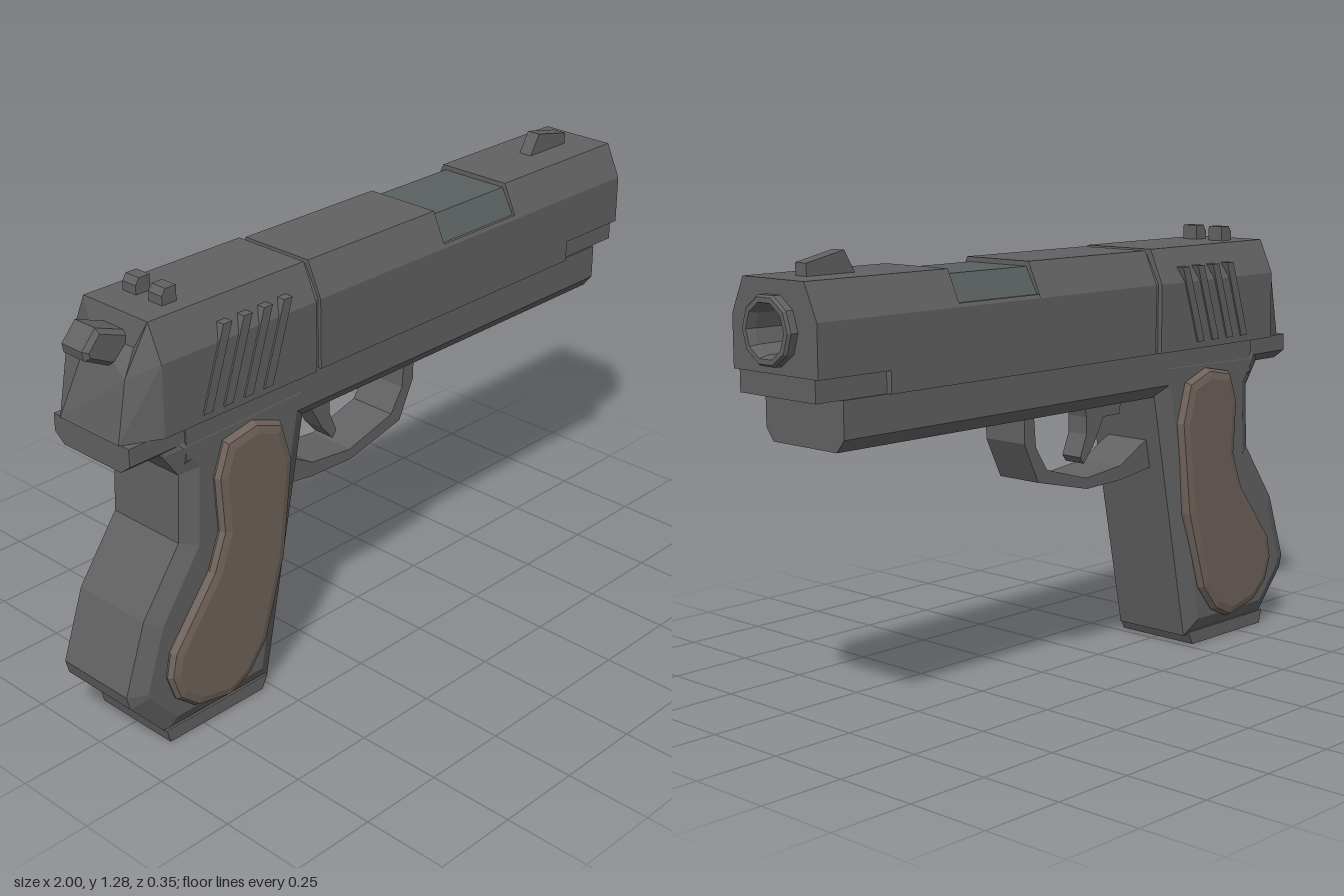
import * as THREE from 'three';

const steel = new THREE.MeshStandardMaterial({ color: 0x626262, flatShading: true, side: THREE.DoubleSide });
const dark = new THREE.MeshStandardMaterial({ color: 0x5a6060, flatShading: true });
const wood = new THREE.MeshStandardMaterial({ color: 0x70635b, flatShading: true });

const shapeOf = (pts) => new THREE.Shape(pts.map(([x, y]) => new THREE.Vector2(x, y)));

// Side outline (x, y) extruded symmetrically to z = +-half, with an optional inward bevel
function slab(pts, half, size = 0, thick = 0, segments = 1) {
  const geo = new THREE.ExtrudeGeometry(shapeOf(pts), {
    depth: 2 * (half - thick), bevelEnabled: size > 0, bevelSize: size,
    bevelOffset: -size, bevelThickness: thick, bevelSegments: segments,
  });
  return geo.translate(0, 0, thick - half);
}

// Half cross-section (z, y), mirrored and run along x from x0 to x1
function prism(half, x0, x1, hole) {
  const shape = shapeOf([...half, ...half.map(([z, y]) => [-z, y]).reverse()]);
  if (hole) shape.holes.push(new THREE.Path().absarc(0, hole.y, hole.r, 0, Math.PI * 2, true));
  const geo = new THREE.ExtrudeGeometry(shape, { depth: x1 - x0, bevelEnabled: false, curveSegments: 5 });
  return geo.rotateY(Math.PI / 2).translate(x0, 0, 0);
}

// Moves every vertex by a rule
function reshape(geo, rule) {
  const p = geo.attributes.position;
  const v = new THREE.Vector3();
  for (let i = 0; i < p.count; i++) {
    v.fromBufferAttribute(p, i);
    rule(v);
    p.setXYZ(i, v.x, v.y, v.z);
  }
  geo.computeVertexNormals();
  return geo;
}

// Chamfered slide section
const slideSection = (bottom, w = 0.162, top = 1.217) =>
  [[w, bottom], [w, 1.12], [w - 0.045, top]];

export function createModel() {
  const model = new THREE.Group();
  const add = (name, geo, mat = steel, parent = model) => {
    const mesh = new THREE.Mesh(geo, mat);
    mesh.name = name;
    parent.add(mesh);
    return mesh;
  };
  const group = (name) => {
    const g = new THREE.Group();
    g.name = name;
    model.add(g);
    return g;
  };

  // Slide, with the ejection port cut in its top
  const slide = group('slide');
  add('slideMiddle', prism(slideSection(0.92), -0.31, 0.18), steel, slide);
  add('portSill', prism([[0.162, 0.92], [0.162, 1.12], [0.157, 1.13]], 0.18, 0.485), steel, slide);
  add('chamber', prism([[0.148, 1.1], [0.148, 1.13], [0.108, 1.203]], 0.17, 0.495), dark, slide);
  add('slideFront', prism(slideSection(0.92), 0.485, 0.73), steel, slide);
  add('slideNose', prism(slideSection(0.98), 0.73, 0.97, { y: 1.09, r: 0.085 }), steel, slide);
  add('nosePlug', prism([[0.145, 0.92], [0.145, 0.985]], 0.72, 0.965), steel, slide);
  add('slideGap', prism(slideSection(0.92, 0.152, 1.205), -0.335, -0.305), steel, slide);
  add('slideRear', prism(slideSection(0.92, 0.166, 1.22), -0.86, -0.33), steel, slide);

  // Tapered tail of the slide
  add('slideTail', reshape(prism(slideSection(0.92, 0.166, 1.22), -0.95, -0.86), (v) => {
    if (v.x > -0.9) return;
    v.z *= 0.68;
    if (v.y > 1.2) v.set(-0.875, 1.145, v.z);
    else if (v.y > 1) v.set(-0.933, 1.09, v.z);
    else v.x = -0.965;
  }), steel, slide);

  // Slanted gripping ribs, passing through to both sides
  for (let i = 0; i < 4; i++) {
    const x = i * 0.07;
    add('slideRib', slab([[-0.735 + x, 0.94], [-0.705 + x, 0.94], [-0.63 + x, 1.165], [-0.66 + x, 1.165]], 0.171), steel, slide);
  }

  // Sights
  add('frontSight', slab([[0.715, 1.21], [0.88, 1.21], [0.88, 1.25], [0.755, 1.276]], 0.021));
  for (const side of [-1, 1]) {
    add('rearSight', slab([[-0.772, 1.21], [-0.725, 1.21], [-0.725, 1.263], [-0.76, 1.263], [-0.772, 1.245]], 0.025))
      .position.z = side * 0.049;
  }

  // Hollow barrel with a ten-sided muzzle
  const barrelProfile = [[0.093, 0.971], [0.093, 0.993], [0.087, 1], [0.073, 1], [0.067, 0.975], [0.06, 0.8], [0.001, 0.8]];
  add('barrel', new THREE.LatheGeometry(barrelProfile.map(([r, x]) => new THREE.Vector2(r, x)), 10)
    .rotateZ(-Math.PI / 2).translate(0, 1.09, 0));

  // Hammer
  add('hammer', slab([[-1, 1.16], [-0.955, 1.21], [-0.86, 1.175], [-0.86, 1.09],
    [-0.925, 1.1], [-0.995, 1.135]], 0.05, 0.012, 0.012));

  // Frame rail and rear tang
  add('frameRail', prism([[0.122, 0.785], [0.15, 0.82], [0.15, 0.92]], -0.78, 0.88));
  add('tang', prism([[0.11, 0.843], [0.145, 0.87], [0.145, 0.92]], -0.96, -0.77));

  // Grip
  add('grip', slab([[-0.84, 0.845], [-0.79, 0.775], [-0.8, 0.58], [-0.93, 0.4], [-1, 0.2], [-0.99, 0.16],
    [-0.875, 0.03], [-0.5, 0.03], [-0.345, 0.8], [-0.31, 0.91], [-0.84, 0.91]], 0.151, 0.05, 0.025));
  add('gripBase', slab([[-0.87, 0], [-0.53, 0], [-0.51, 0.04], [-0.88, 0.04]], 0.138));

  // Wooden panels on both sides of the grip
  add('gripPanels', slab([[-0.66, 0.835], [-0.555, 0.855], [-0.46, 0.82], [-0.425, 0.7], [-0.46, 0.42],
    [-0.535, 0.18], [-0.6, 0.1], [-0.675, 0.065], [-0.795, 0.09], [-0.86, 0.145], [-0.885, 0.22],
    [-0.87, 0.29], [-0.725, 0.475], [-0.685, 0.58], [-0.695, 0.74]], 0.176, 0.03, 0.02, 2), wood);

  // Trigger guard and trigger
  add('triggerGuard', slab([[-0.4, 0.565], [-0.26, 0.545], [-0.11, 0.54], [0.095, 0.588], [0.152, 0.705],
    [0.152, 0.8], [0.115, 0.8], [0.105, 0.69], [0.06, 0.62], [-0.11, 0.572], [-0.26, 0.588], [-0.345, 0.635], [-0.4, 0.66]], 0.074));
  add('trigger', slab([[-0.31, 0.8], [-0.297, 0.733], [-0.227, 0.733], [-0.18, 0.65], [-0.14, 0.605],
    [-0.125, 0.625], [-0.152, 0.69], [-0.152, 0.74], [-0.135, 0.8]], 0.035));

  return model;
}
